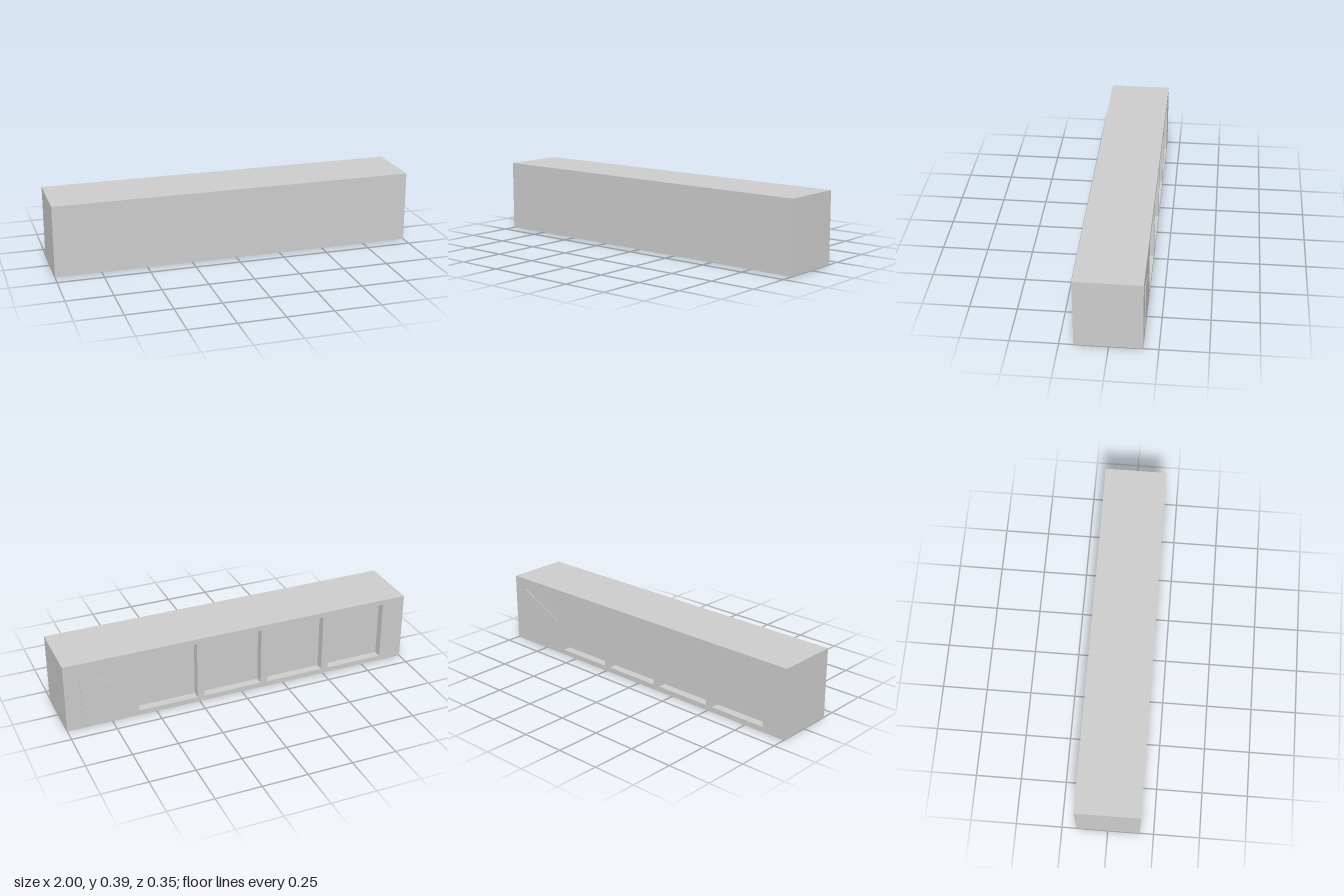
import * as THREE from 'three';

export function createModel() {
  const group = new THREE.Group();
  const material = new THREE.MeshStandardMaterial({ color: 0xcccccc, flatShading: true });
  const height = 0.392, back = -0.172, front = 0.176, recess = 0.046;

  const add = (name, geometry, z) => {
    const mesh = new THREE.Mesh(geometry, material);
    mesh.name = name;
    mesh.position.z = z;
    group.add(mesh);
  };
  const polygon = (points, Type = THREE.Shape) => new Type(points.map(([x, y]) => new THREE.Vector2(x, y)));
  const rectangle = (x0, y0, x1, y1, Type) => polygon([[x0, y0], [x1, y0], [x1, y1], [x0, y1]], Type);
  const extrude = (shape, depth) => new THREE.ExtrudeGeometry(shape, { depth, bevelEnabled: false });

  // Solid bar; its rear face is the floor of the pockets
  const floor = back + recess;
  const bar = new THREE.BoxGeometry(2, height, front - floor);
  bar.translate(0, height / 2, 0);
  add('body', bar, (front + floor) / 2);

  // Rear frame with a row of four square pockets
  const frame = rectangle(-1, 0, 1, height);
  for (let i = 0; i < 4; i++) {
    const x = 0.262 - i * 0.376;
    frame.holes.push(rectangle(x, 0.029, x + 0.336, 0.363, THREE.Path));
  }
  add('pocketFrame', extrude(frame, recess), back);

  // Thin raised triangle pointing at the pockets
  const arrow = polygon([[0.915, 0.06], [0.915, 0.33], [0.632, 0.195]]);
  add('arrowPlate', extrude(arrow, 0.004), -0.176);

  return group;
}
